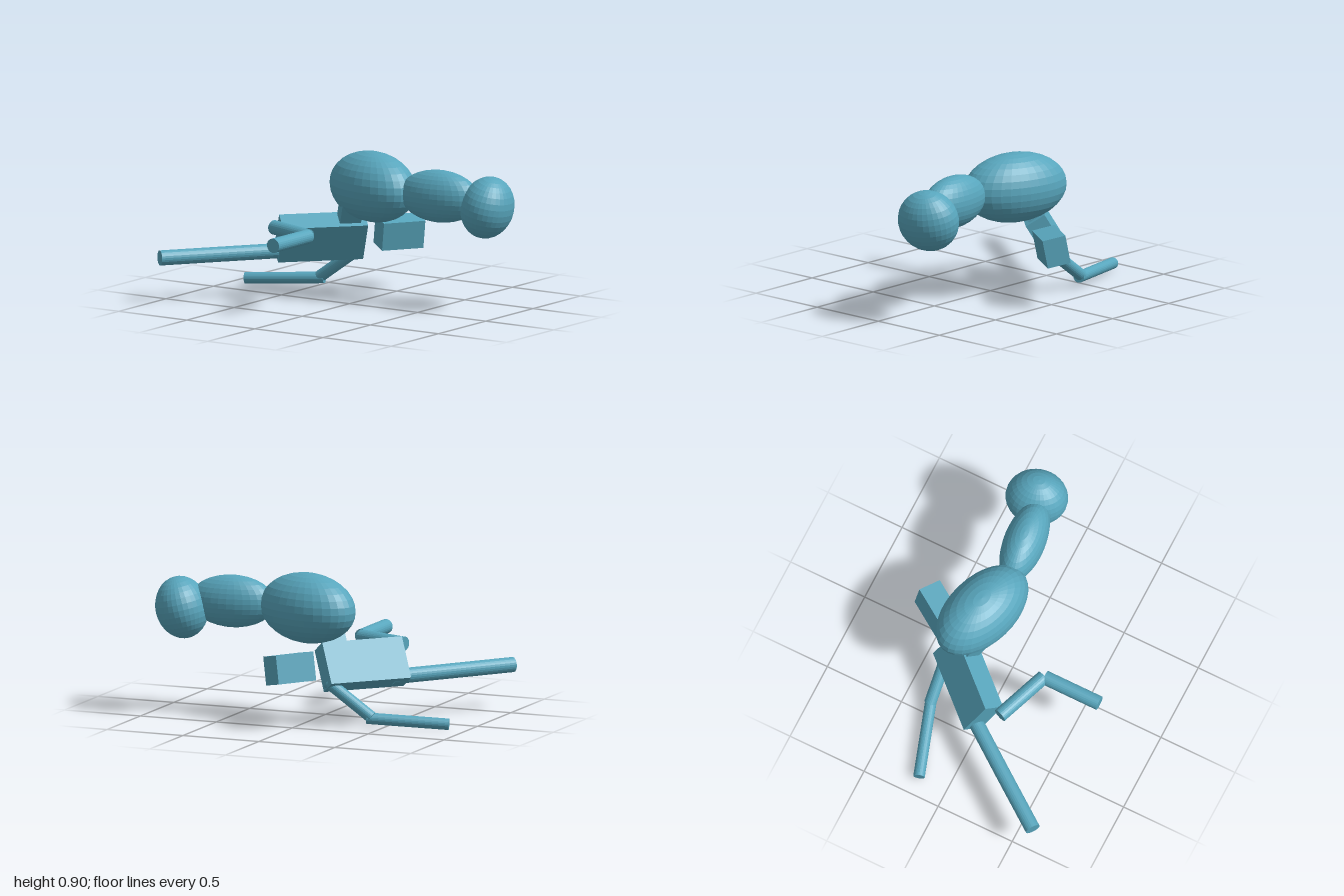
import * as THREE from 'three';

const V = (x, y, z) => new THREE.Vector3(x, y, z);

export function createModel() {
  const model = new THREE.Group();
  const teal = new THREE.MeshStandardMaterial({ color: 0x58a6bd, flatShading: true });
  teal.name = 'teal';

  function add(name, geometry, position) {
    const mesh = new THREE.Mesh(geometry, teal);
    mesh.name = name;
    mesh.position.copy(position);
    model.add(mesh);
    return mesh;
  }

  // Ellipsoid with its local x axis turned to a direction
  function ellipsoid(name, centre, radii, axis) {
    const mesh = add(name, new THREE.SphereGeometry(1, 32, 16), centre);
    mesh.scale.copy(radii);
    mesh.quaternion.setFromUnitVectors(V(1, 0, 0), axis.normalize());
  }

  // Box with its length (x) and height (y) along two given directions
  function block(name, centre, size, along, up) {
    const mesh = add(name, new THREE.BoxGeometry(size.x, size.y, size.z), centre);
    const x = along.clone().normalize();
    const z = x.clone().cross(up).normalize();
    const y = z.clone().cross(x);
    mesh.quaternion.setFromRotationMatrix(new THREE.Matrix4().makeBasis(x, y, z));
  }

  // Straight round limb between two points
  function limb(name, a, b, radius) {
    const dir = b.clone().sub(a);
    const mesh = add(name, new THREE.CylinderGeometry(radius, radius, dir.length(), 24),
      a.clone().add(b).multiplyScalar(0.5));
    mesh.quaternion.setFromUnitVectors(V(0, 1, 0), dir.normalize());
  }

  // Large rounded forms
  ellipsoid('largeBody', V(0.02, 0.69, -0.218), V(0.342, 0.214, 0.202), V(0.951, 0, 0.309));
  ellipsoid('middleBody', V(0.53, 0.69, -0.187), V(0.27, 0.16, 0.126), V(0.996, 0, -0.09));
  ellipsoid('roundHead', V(0.833, 0.642, -0.258), V(0.16, 0.19, 0.19), V(1, -0.25, -0.32));

  // Blocky figure: torso, neck stub and head
  const torsoAlong = V(0.353, 0, -0.385), torsoUp = V(0.11, 0.235, 0.09);
  block('torso', V(-0.31, 0.357, -0.146), V(0.525, 0.27, 0.133), torsoAlong, torsoUp);
  block('connector', V(-0.135, 0.52, -0.2), V(0.13, 0.18, 0.09), torsoAlong, torsoUp);
  block('blockHead', V(0.012, 0.367, -0.51), V(0.268, 0.175, 0.144),
    V(0.15, 0, -0.225), V(0.03, 0.172, 0.015));

  // Straight leg
  limb('upperLeg', V(-0.46, 0.275, -0.055), V(-0.73, 0.275, 0.306), 0.046);
  limb('lowerLeg', V(-0.73, 0.275, 0.306), V(-0.962, 0.275, 0.62), 0.046);

  // Front arm, bent at the elbow
  limb('frontUpperArm', V(-0.455, 0.444, 0.142), V(-0.118, 0.444, 0.266), 0.044);
  limb('frontForearm', V(-0.115, 0.444, 0.275), V(-0.115, 0.444, 0.643), 0.044);

  // Rear arm, reaching down
  limb('rearUpperArm', V(-0.17, 0.27, -0.35), V(-0.45, 0.07, -0.331), 0.037);
  limb('rearForearm', V(-0.42, 0.066, -0.338), V(-0.893, 0.037, -0.183), 0.035);

  return model;
}
